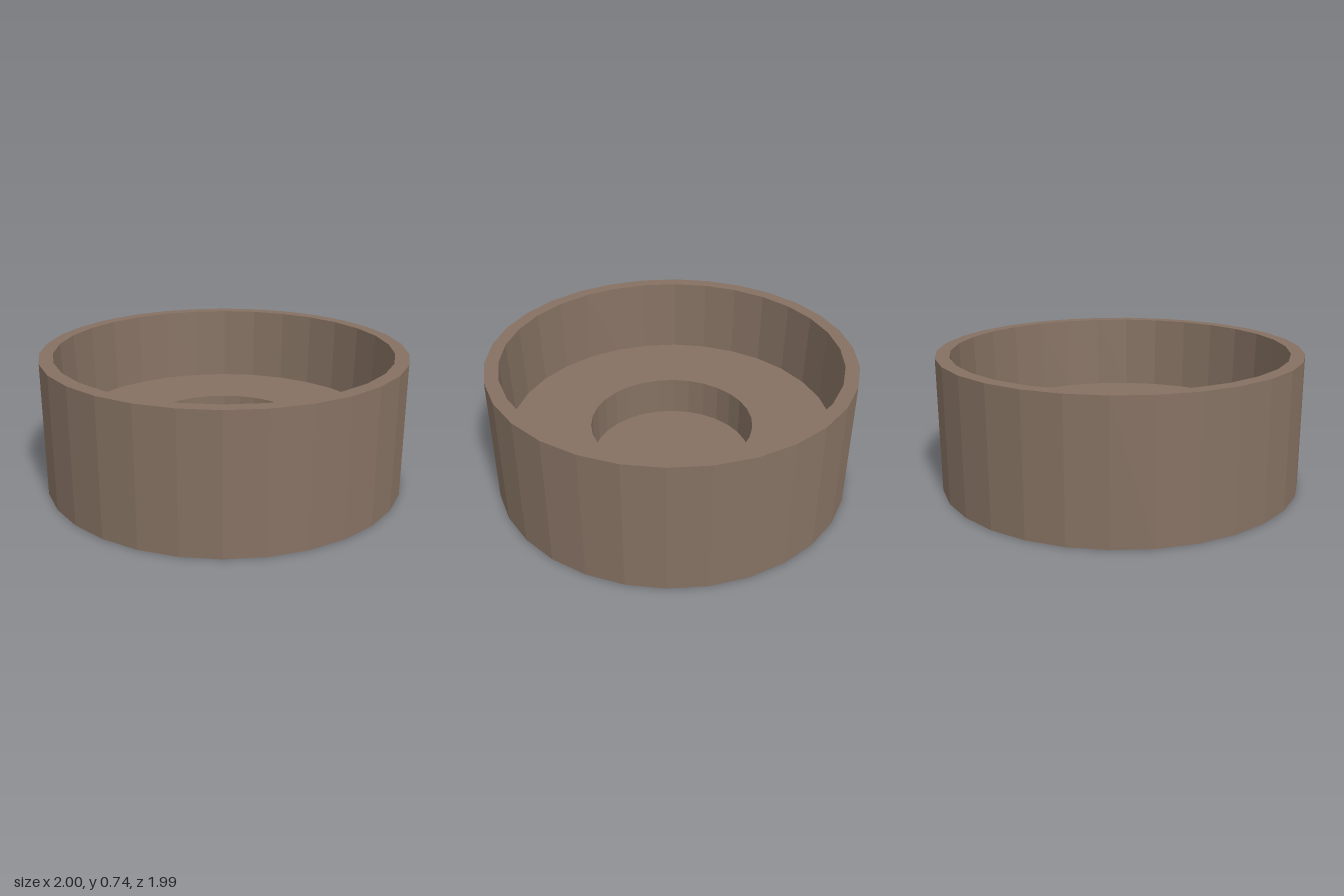
import * as THREE from 'three';

const SIDES = 30;

const brown = new THREE.MeshStandardMaterial({ color: 0x857162 });
brown.name = 'warmBrown';

// Faceted surface of revolution from [radius, height] pairs, with a corner on the x axis
function turned(name, profile) {
  const points = profile.map(([r, y]) => new THREE.Vector2(r, y));
  const geometry = new THREE.LatheGeometry(points, SIDES, Math.PI / 2).toNonIndexed();
  geometry.computeVertexNormals();
  const mesh = new THREE.Mesh(geometry, brown);
  mesh.name = name;
  return mesh;
}

export function createModel() {
  const model = new THREE.Group();
  model.name = 'roundCup';

  const height = 0.735;
  const floorY = 0.307;
  const wellY = 0.08;
  const wellR = 0.457;

  model.add(
    // Closed underside
    turned('base', [[0, 0], [1, 0]]),
    // Outer wall, flat rim and slightly tapered inner wall
    turned('wall', [[1, 0], [1, height], [0.925, height], [0.912, floorY]]),
    // Raised floor around the central well
    turned('floor', [[0.912, floorY], [wellR, floorY]]),
    // Straight-sided well sunk into the floor
    turned('well', [[wellR, floorY], [wellR, wellY], [0, wellY]])
  );
  return model;
}
